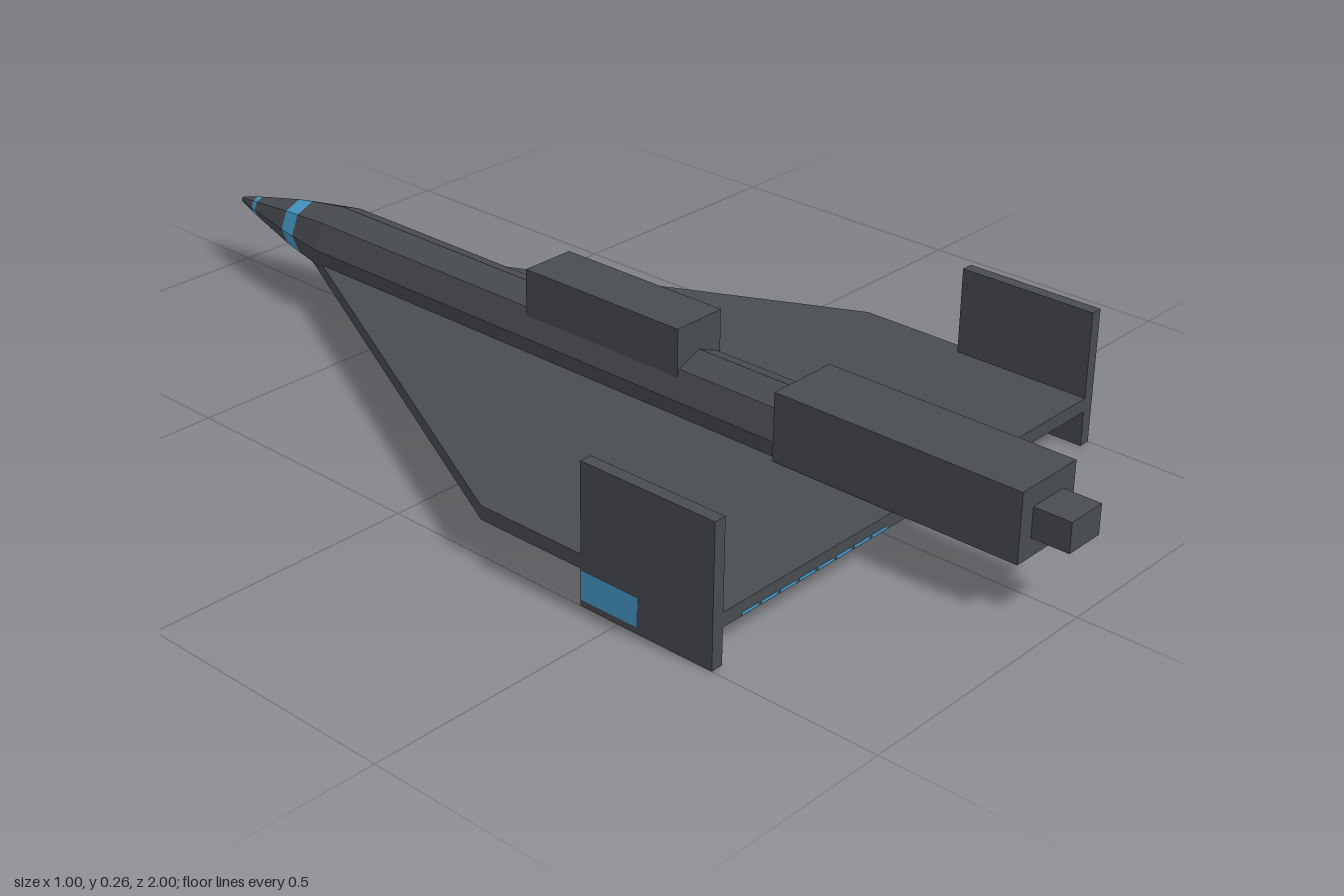
import * as THREE from 'three';

const hull = new THREE.MeshStandardMaterial({ name: 'charcoal hull', color: 0x494c50, flatShading: true });
const blue = new THREE.MeshStandardMaterial({ name: 'blue marking', color: 0x4598c8, flatShading: true });
const dark = new THREE.MeshStandardMaterial({ name: 'dark tail opening', color: 0x1c1d1f, flatShading: true });

export function createModel() {
  const model = new THREE.Group();
  model.name = 'deltaAircraft';

  const add = (name, geometry, material = hull) => {
    const mesh = new THREE.Mesh(geometry, material);
    mesh.name = name;
    model.add(mesh);
    return mesh;
  };

  // Box given by its extents on each axis
  const box = (name, [x0, x1], [y0, y1], [z0, z1], material) => {
    const mesh = add(name, new THREE.BoxGeometry(x1 - x0, y1 - y0, z1 - z0), material);
    mesh.position.set((x0 + x1) / 2, (y0 + y1) / 2, (z0 + z1) / 2);
  };

  // Eight-sided body sections, from tail to nose: [name, z, radius, next z, next radius, material]
  const axisY = 0.13;
  const sections = [
    ['tailTaper', 0.83, 0.056, 0.69, 0.07, hull],
    ['fuselage', 0.69, 0.07, -0.7, 0.07, hull],
    ['noseBase', -0.7, 0.07, -0.785, 0.056, hull],
    ['noseBand', -0.785, 0.056, -0.825, 0.049, blue],
    ['noseCone', -0.825, 0.049, -0.94, 0.022, hull],
    ['tipBand', -0.94, 0.022, -0.955, 0.018, blue],
    ['noseTip', -0.955, 0.018, -1, 0.006, hull],
  ];
  for (const [name, z0, r0, z1, r1, material] of sections) {
    const geometry = new THREE.CylinderGeometry(r0, r1, z0 - z1, 8, 1, name !== 'noseTip');
    geometry.rotateX(Math.PI / 2);
    add(name, geometry, material).position.set(0, axisY, (z0 + z1) / 2);
  }

  // Tail opening
  const opening = new THREE.CircleGeometry(0.056, 8);
  add('tailOpening', opening, dark).position.set(0, axisY, 0.83);

  // Delta wing, drawn in x and -z, then laid flat
  const outline = new THREE.Shape([
    [0, 0.81], [-0.5, -0.2], [-0.5, -0.69], [0.5, -0.69], [0.5, -0.2],
  ].map(([x, y]) => new THREE.Vector2(x, y)));
  const wing = new THREE.ExtrudeGeometry(outline, { depth: 0.026, bevelEnabled: false });
  wing.rotateX(-Math.PI / 2);
  add('deltaWing', wing).position.y = 0.067;

  // Dorsal fairing, engine housing and exhaust
  box('dorsalFairing', [-0.055, 0.055], [0.15, 0.256], [-0.14, 0.22]);
  box('engineHousing', [-0.071, 0.071], [0.095, 0.222], [0.445, 0.93]);
  box('exhaust', [-0.04, 0.04], [0.13, 0.185], [0.93, 1]);

  // Wingtip fins with a blue panel on both faces
  for (const side of [-1, 1]) {
    const label = side > 0 ? 'left' : 'right';
    const span = (a, b) => [side * a, side * b].sort((p, q) => p - q);
    box(label + 'Fin', span(0.477, 0.5), [0, 0.256], [0.42, 0.69]);
    box(label + 'FinOuterPanel', span(0.4995, 0.501), [0.012, 0.065], [0.422, 0.54], blue);
    box(label + 'FinInnerPanel', span(0.476, 0.4775), [0.012, 0.065], [0.422, 0.54], blue);
  }

  // Thin dashes along the trailing edge
  for (let i = 0; i < 8; i++) {
    const x = -0.435 + i * 0.045;
    box('trailingEdgeDash', [x, x + 0.038], [0.069, 0.074], [0.6895, 0.691], blue);
  }

  return model;
}
